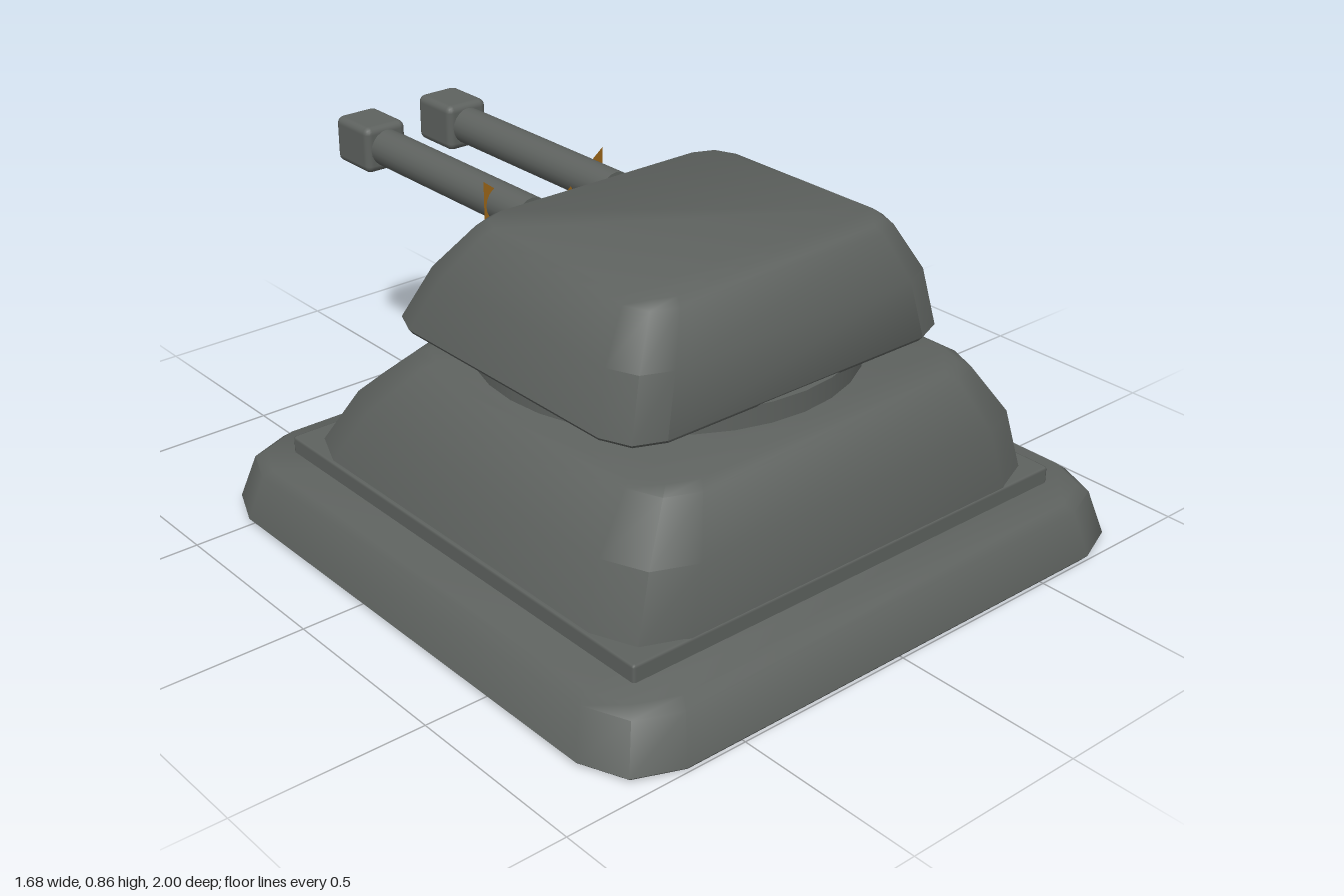
import * as THREE from 'three';
import { toCreasedNormals } from 'three/addons/utils/BufferGeometryUtils.js';
import { RoundedBoxGeometry } from 'three/addons/geometries/RoundedBoxGeometry.js';

// Outline of a rectangle with chamfered corners: half width x, back z0, front z1, corner r
function ring([y, x, z0, z1, r]) {
  const corners = [[x - r, z1 - r], [r - x, z1 - r], [r - x, z0 + r], [x - r, z0 + r]];
  const pts = [];
  corners.forEach(([cx, cz], q) => {
    for (let k = 0; k < 3; k++) {
      const a = (q + k / 2) * Math.PI / 2;
      pts.push([cx + r * Math.cos(a), y, cz + r * Math.sin(a)]);
    }
  });
  return pts;
}

// Closed solid through a stack of sections, bottom to top
function loft(sections) {
  const rings = sections.map(ring);
  const n = rings[0].length, last = (rings.length - 1) * n;
  const pos = rings.flat(2), index = [];
  for (let j = 0; j < rings.length - 1; j++) {
    for (let i = 0; i < n; i++) {
      const a = j * n + i, b = j * n + (i + 1) % n;
      index.push(a, a + n, b, b, a + n, b + n);
    }
  }
  for (let i = 1; i < n - 1; i++) {
    index.push(0, i, i + 1);
    index.push(last, last + i + 1, last + i);
  }
  const g = new THREE.BufferGeometry();
  g.setAttribute('position', new THREE.Float32BufferAttribute(pos, 3));
  g.setIndex(index);
  return toCreasedNormals(g, 0.75);
}

export function createModel() {
  const model = new THREE.Group();
  model.name = 'gunTurret';
  const metal = new THREE.MeshStandardMaterial({ color: 0x5e625f });
  metal.name = 'grey metal';
  const amber = new THREE.MeshStandardMaterial({ color: 0x9a6518, side: THREE.DoubleSide });
  amber.name = 'amber';

  const add = (name, geometry, x = 0, y = 0, z = 0, material = metal) => {
    const mesh = new THREE.Mesh(geometry, material);
    mesh.name = name;
    mesh.position.set(x, y, z);
    model.add(mesh);
    return mesh;
  };

  // Foundation slab and plinth
  add('baseSlab', loft([
    [0, 0.83, -0.67, 0.99, 0.17],
    [0.012, 0.84, -0.68, 1.0, 0.17],
    [0.13, 0.805, -0.645, 0.965, 0.16],
    [0.15, 0.78, -0.62, 0.94, 0.15],
  ]));
  add('plinth', new RoundedBoxGeometry(1.37, 0.1, 1.365, 1, 0.008), 0, 0.145, 0.158);

  // Sloped lower housing
  add('lowerHousing', loft([
    [0.19, 0.678, -0.51, 0.838, 0.16],
    [0.36, 0.632, -0.4, 0.82, 0.16],
    [0.49, 0.535, -0.255, 0.755, 0.12],
    [0.505, 0.505, -0.225, 0.73, 0.11],
  ]));

  // Swivel ring
  add('swivelRing', new THREE.CylinderGeometry(0.49, 0.49, 0.08, 32), 0, 0.52, 0.16);

  // Turret head
  add('turretHead', loft([
    [0.555, 0.515, -0.31, 0.628, 0.11],
    [0.565, 0.522, -0.315, 0.635, 0.11],
    [0.72, 0.486, -0.225, 0.617, 0.11],
    [0.84, 0.413, -0.125, 0.568, 0.09],
    [0.857, 0.39, -0.1, 0.548, 0.08],
  ]));

  // Twin guns pointing backwards
  for (const [side, s] of [['left', 1], ['right', -1]]) {
    const barrel = add(side + 'Barrel', new THREE.CylinderGeometry(0.051, 0.051, 0.68, 20), s * 0.137, 0.765, -0.54);
    barrel.rotation.x = Math.PI / 2;
    add(side + 'Muzzle', new RoundedBoxGeometry(0.13, 0.13, 0.155, 2, 0.02), s * 0.137, 0.765, -0.9225);
  }

  // Flat chevron bracket across the barrels
  const chevron = new THREE.Shape([
    [0, 0.585], [0.195, 0.73], [0.195, 0.835], [0, 0.685], [-0.195, 0.835], [-0.195, 0.73],
  ].map(([x, y]) => new THREE.Vector2(x, y)));
  add('barrelBracket', new THREE.ShapeGeometry(chevron), 0, 0, -0.326, amber);

  return model;
}
